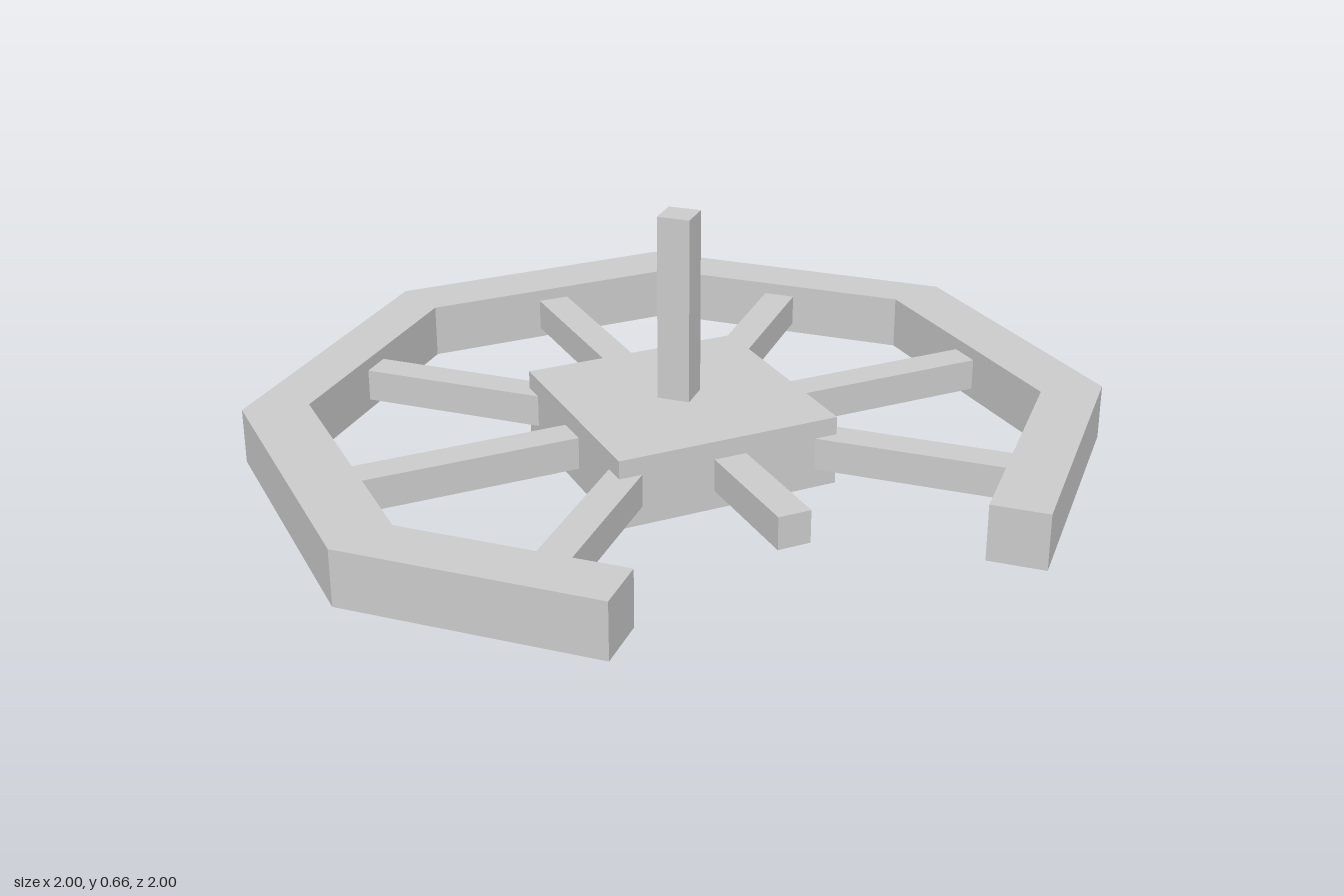
import * as THREE from 'three';

export function createModel() {
  const group = new THREE.Group();
  const material = new THREE.MeshStandardMaterial({ color: 0xcccccc, flatShading: true });
  const add = (name, geometry, parent = group) => {
    const mesh = new THREE.Mesh(geometry, material);
    mesh.name = name;
    parent.add(mesh);
    return mesh;
  };

  // Octagonal rim with a broken-out front left section, drawn as [x, z]
  const outline = [
    [0.21, 1], [-0.44, 1], [-1, 0.44], [-1, -0.44], [-0.44, -1], [0.44, -1], [1, -0.44], [1, 0.31],
    [0.858, 0.31], [0.858, -0.352], [0.352, -0.86], [-0.352, -0.86],
    [-0.86, -0.352], [-0.86, 0.352], [-0.36, 0.855], [0.21, 0.855],
  ];
  const shape = new THREE.Shape(outline.map(([x, z]) => new THREE.Vector2(x, z)));
  const rim = new THREE.ExtrudeGeometry(shape, { depth: 0.143, bevelEnabled: false });
  rim.rotateX(Math.PI / 2).translate(0, 0.165, 0);
  add('rim', rim);

  // Square hub set on its corner, slightly off centre
  const centre = 0.004;
  const side = 0.414 * Math.SQRT2;
  const hub = add('hub', new THREE.BoxGeometry(side, 0.18, side));
  hub.position.set(centre, 0.09, centre);
  hub.rotation.y = Math.PI / 4;

  // Eight spokes; the one pointing to the gap is snapped short
  const spokes = new THREE.Group();
  spokes.name = 'spokes';
  spokes.position.set(centre, 0.091, centre);
  group.add(spokes);
  for (let i = 0; i < 8; i++) {
    const broken = i === 7;
    const start = 0.2;
    const end = broken ? 0.62 : 0.865;
    const geometry = new THREE.BoxGeometry(end - start, 0.084, 0.085);
    geometry.translate((start + end) / 2, 0, 0);
    add(broken ? 'brokenSpoke' : 'spoke', geometry, spokes).rotation.y = i * Math.PI / 4;
  }

  // Upright axle post
  const post = add('axlePost', new THREE.BoxGeometry(0.084, 0.49, 0.084));
  post.position.set(centre, 0.415, centre);

  return group;
}
